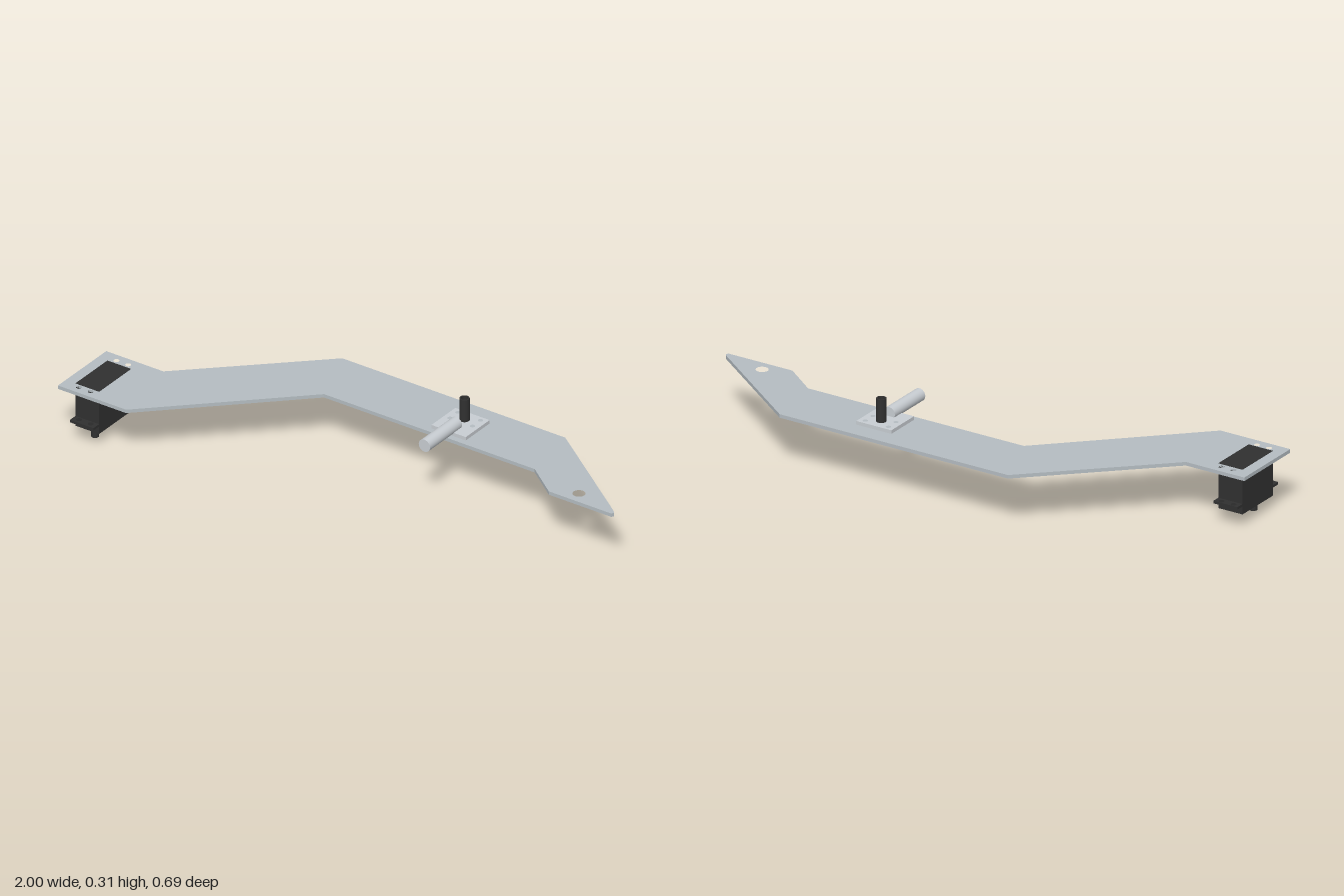
import * as THREE from 'three';

const AXLE = [0.25, -0.232];      // x, z of the upright tube
const SERVO = [-0.912, 0.208];    // x, z of the servo centre

// Flat slab with holes: outline points and holes are given as x, z
function slab(points, holes, y, depth) {
  const shape = new THREE.Shape(points.map(([x, z]) => new THREE.Vector2(x, -z)));
  for (const h of holes) {
    const path = new THREE.Path();
    if (Array.isArray(h[0])) path.setFromPoints(h.map(([x, z]) => new THREE.Vector2(x, -z)));
    else path.absarc(h[0], -h[1], h[2], 0, Math.PI * 2, true);
    shape.holes.push(path);
  }
  const geo = new THREE.ExtrudeGeometry(shape, { depth, bevelEnabled: false, curveSegments: 16 });
  return geo.rotateX(-Math.PI / 2).translate(0, y, 0);
}

const rect = (x0, x1, z0, z1) => [[x0, z0], [x1, z0], [x1, z1], [x0, z1]];

// Hollow upright tube
function tube(inner, outer, y0, y1) {
  const p = [[inner, y0], [outer, y0], [outer, y0], [outer, y1], [outer, y1], [inner, y1], [inner, y1], [inner, y0]];
  const parts = [];
  for (let i = 0; i < p.length; i += 2) {
    parts.push(new THREE.LatheGeometry([p[i], p[i + 1]].map(([r, y]) => new THREE.Vector2(r, y)), 32));
  }
  return parts;
}

export function createModel() {
  const root = new THREE.Group();
  root.name = 'servoArm';
  const mat = (name, color) => {
    const m = new THREE.MeshStandardMaterial({ color });
    m.name = name;
    return m;
  };
  const plateGrey = mat('plateGrey', 0xb4bcc1);
  const lightMetal = mat('lightMetal', 0xc8cdd2);
  const black = mat('blackPlastic', 0x303030);
  const add = (name, geo, material, parent = root) => {
    const mesh = new THREE.Mesh(geo, material);
    mesh.name = name;
    parent.add(mesh);
    return mesh;
  };

  // Screw hole patterns
  const servoScrews = [], bracketScrews = [];
  for (const s of [-1, 1]) {
    for (const t of [-1, 1]) {
      servoScrews.push([SERVO[0] + s * 0.024, SERVO[1] + t * 0.108, 0.01]);
      bracketScrews.push([0.25 + s * 0.046, -0.236 + t * 0.023, 0.009]);
    }
  }

  // Cranked arm plate with servo cutout, screw holes and tip hole
  const outline = [
    [-1, 0.068], [-0.767, 0.068], [-0.33, -0.347], [0.58, -0.347], [0.99, -0.045], [1, -0.034],
    [0.995, -0.025], [0.74, -0.025], [0.617, -0.118], [-0.243, -0.118], [-0.722, 0.347], [-1, 0.347],
  ];
  add('armPlate', slab(outline, [
    rect(-0.96, -0.864, 0.118, 0.302), ...servoScrews, ...bracketScrews,
    [...AXLE, 0.0175], [0.83, -0.072, 0.022],
  ], 0.195, 0.013), plateGrey);

  // Servo: body flush with the plate top, mounting ears, output shaft
  const servo = new THREE.Group();
  servo.name = 'servo';
  root.add(servo);
  const body = new THREE.BoxGeometry(0.096, 0.164, 0.184);
  add('servoBody', body.translate(SERVO[0], 0.127, 0.21), black, servo);
  for (const [z0, z1] of [[0.087, 0.119], [0.301, 0.335]]) {
    const holes = servoScrews.filter((h) => h[1] > z0 && h[1] < z1);
    add('mountingEar', slab(rect(-0.96, -0.864, z0, z1), holes, 0.074, 0.009), black, servo);
  }
  const shaft = new THREE.CylinderGeometry(0.0135, 0.0135, 0.046, 24);
  add('outputShaft', shaft.translate(SERVO[0], 0.023, 0.257), black, servo);

  // Pivot bracket with its horizontal rod
  add('bracketPlate', slab(rect(0.18, 0.32, -0.278, -0.14),
    [...bracketScrews, [...AXLE, 0.0175]], 0.208, 0.013), lightMetal);
  const rod = new THREE.CylinderGeometry(0.023, 0.023, 0.185, 32);
  add('bracketRod', rod.rotateX(Math.PI / 2).translate(0.25, 0.231, -0.0925), lightMetal);

  // Upright hollow tube with a collar under the plate
  const pivot = new THREE.Group();
  pivot.name = 'pivotTube';
  pivot.position.set(AXLE[0], 0, AXLE[1]);
  root.add(pivot);
  for (const geo of tube(0.012, 0.0175, 0.19, 0.305)) add('tubeWall', geo, black, pivot);
  for (const geo of tube(0.012, 0.027, 0.19, 0.195)) add('tubeCollar', geo, black, pivot);

  return root;
}
